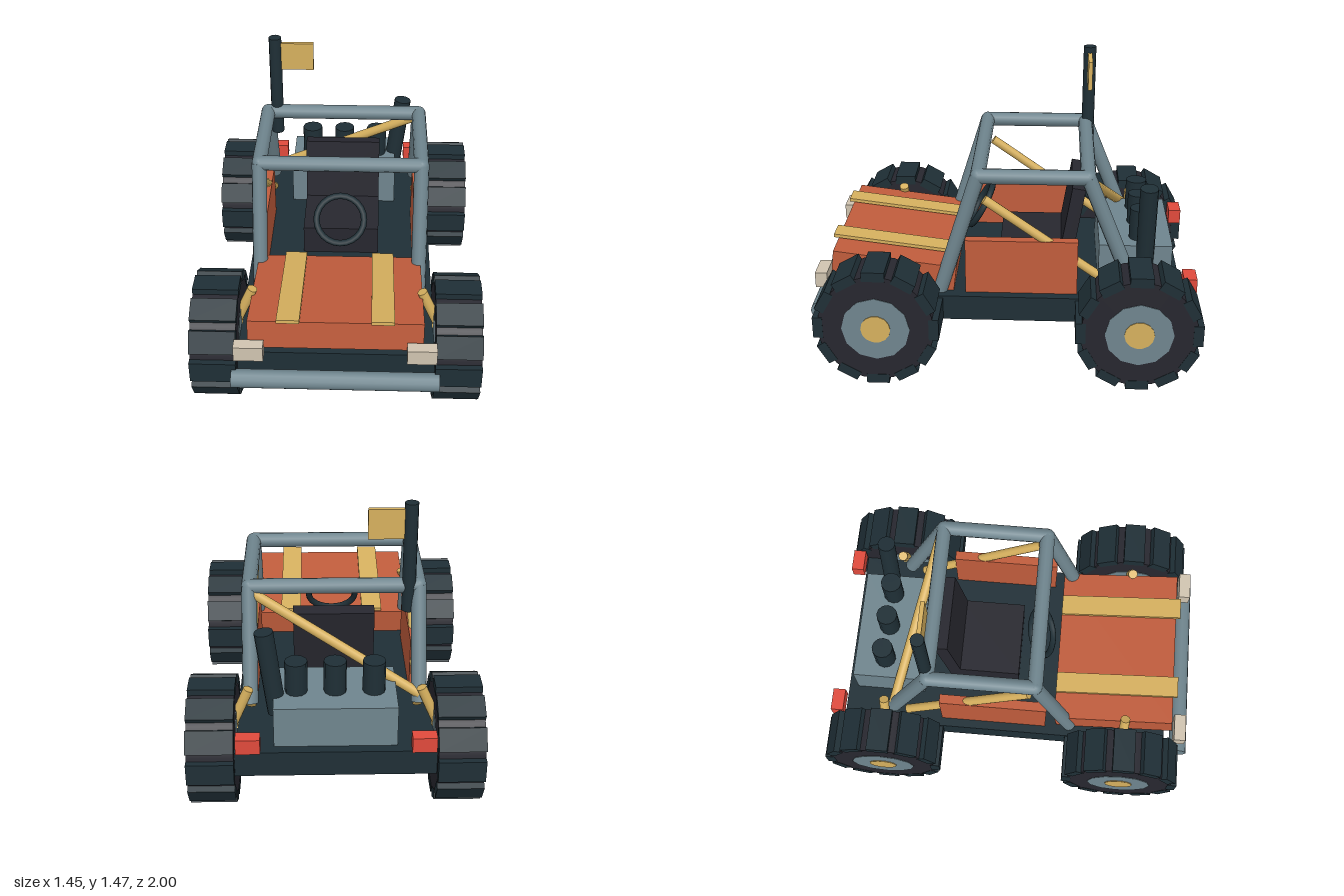
import * as THREE from 'three';

const mat = (color) => new THREE.MeshStandardMaterial({ color });
const DARK = mat(0x1f2f36), RUBBER = mat(0x27272f), STEEL = mat(0x6f858e);
const ORANGE = mat(0xc05c3c), YELLOW = mat(0xd6b05e), LAMP = mat(0xd0c4b0), RED = mat(0xe04a3c);

export function createModel() {
  const model = new THREE.Group();
  model.name = 'buggy';

  const add = (name, geometry, material, x, y, z, parent = model) => {
    const mesh = new THREE.Mesh(geometry, material);
    mesh.name = name;
    mesh.position.set(x, y, z);
    parent.add(mesh);
    return mesh;
  };
  const box = (name, material, w, h, d, x, y, z, tilt = 0) => {
    const mesh = add(name, new THREE.BoxGeometry(w, h, d), material, x, y, z);
    mesh.rotation.x = tilt;
    return mesh;
  };
  // Round bar between two points
  const bar = (name, material, r, a, b) => {
    const start = new THREE.Vector3(...a), end = new THREE.Vector3(...b);
    const dir = end.clone().sub(start);
    const mid = start.add(end).multiplyScalar(0.5);
    const mesh = add(name, new THREE.CylinderGeometry(r, r, dir.length(), 12), material, mid.x, mid.y, mid.z);
    mesh.quaternion.setFromUnitVectors(new THREE.Vector3(0, 1, 0), dir.normalize());
    return mesh;
  };

  // Chassis and bumper
  box('chassis', DARK, 0.98, 0.135, 1.78, 0, 0.32, -0.03);
  bar('frontBumper', STEEL, 0.048, [-0.51, 0.295, 0.95], [0.51, 0.295, 0.95]);

  // Hood rising towards the front, with two stripes
  box('hood', ORANGE, 0.857, 0.15, 0.64, 0, 0.487, 0.57, -0.125);
  for (const s of [-1, 1]) box('hoodStripe', YELLOW, 0.112, 0.018, 0.662, s * 0.229, 0.578, 0.572, -0.125);

  // Seat and steering wheel
  box('seatCushion', RUBBER, 0.41, 0.16, 0.36, 0, 0.47, -0.15);
  box('seatBack', RUBBER, 0.41, 0.42, 0.07, 0, 0.667, -0.348, -0.16);
  const steering = add('steeringWheel', new THREE.TorusGeometry(0.127, 0.017, 8, 24), DARK, 0, 0.69, 0.142);
  steering.rotation.x = -0.51;

  // Engine block, three cylinders and a leaning exhaust
  box('engineBlock', STEEL, 0.6, 0.215, 0.38, 0, 0.495, -0.68);
  for (const x of [-0.19, 0, 0.19]) bar('engineCylinder', DARK, 0.056, [x, 0.55, -0.705], [x, 0.77, -0.705]);
  bar('exhaust', DARK, 0.047, [0.285, 0.5, -0.73], [0.34, 0.945, -0.73]);

  // Roll cage
  const R = 0.039, X = 0.42, TOP = 1.03, ZF = 0.13, ZB = -0.42;
  for (const s of [-1, 1]) {
    const x = s * X;
    bar('cageFrontPost', STEEL, R, [x, 0.39, 0.33], [x, TOP, ZF]);
    bar('cageTopRail', STEEL, R, [x, TOP, ZF], [x, TOP, ZB]);
    bar('cageRearPost', STEEL, R, [x, TOP, ZB], [x, 0.49, -0.64]);
    for (const z of [ZF, ZB]) add('cageJoint', new THREE.SphereGeometry(R, 12, 8), STEEL, x, TOP, z);
    bar('sideBrace', YELLOW, 0.024, [x, 0.905, 0.1], [x, 0.43, -0.57]);
  }
  for (const z of [ZF, ZB]) bar('cageCrossBar', STEEL, R, [-X, TOP, z], [X, TOP, z]);
  bar('rearBrace', YELLOW, 0.026, [0.42, 1.01, -0.43], [-0.42, 0.535, -0.64]);

  // Side panels, lights
  for (const s of [-1, 1]) {
    box('sidePanel', ORANGE, 0.05, 0.295, 0.575, s * 0.42, 0.537, -0.09);
    box('headLight', LAMP, 0.144, 0.082, 0.062, s * 0.42, 0.465, 0.935);
    box('tailLight', RED, 0.118, 0.08, 0.067, s * 0.42, 0.465, -0.951);
  }

  // Flag
  bar('flagPole', DARK, 0.034, [-0.37, 0.9, -0.433], [-0.37, 1.475, -0.433]);
  box('flag', YELLOW, 0.19, 0.155, 0.022, -0.258, 1.367, -0.433);

  // Wheels with twelve tread lugs, and their struts
  const WY = 0.318;
  for (const z of [0.627, -0.685]) {
    for (const s of [-1, 1]) {
      const wheel = new THREE.Group();
      wheel.name = 'wheel';
      wheel.position.set(s * 0.603, WY, z);
      model.add(wheel);
      const disc = (name, material, r, width, sides) => {
        const mesh = add(name, new THREE.CylinderGeometry(r, r, width, sides), material, 0, 0, 0, wheel);
        mesh.rotation.z = Math.PI / 2;
      };
      disc('tyre', RUBBER, 0.292, 0.226, 24);
      disc('rim', STEEL, 0.172, 0.232, 12);
      disc('hubCap', YELLOW, 0.075, 0.24, 14);
      for (let i = 0; i < 12; i++) {
        const a = i * Math.PI / 6;
        const lug = add('treadLug', new THREE.BoxGeometry(0.23, 0.05, 0.115), DARK,
          0, 0.291 * Math.cos(a), 0.291 * Math.sin(a), wheel);
        lug.rotation.x = a;
      }
      bar('strut', YELLOW, 0.026, [s * 0.425, 0.6, z], [s * 0.545, 0.32, z]);
    }
  }
  return model;
}
